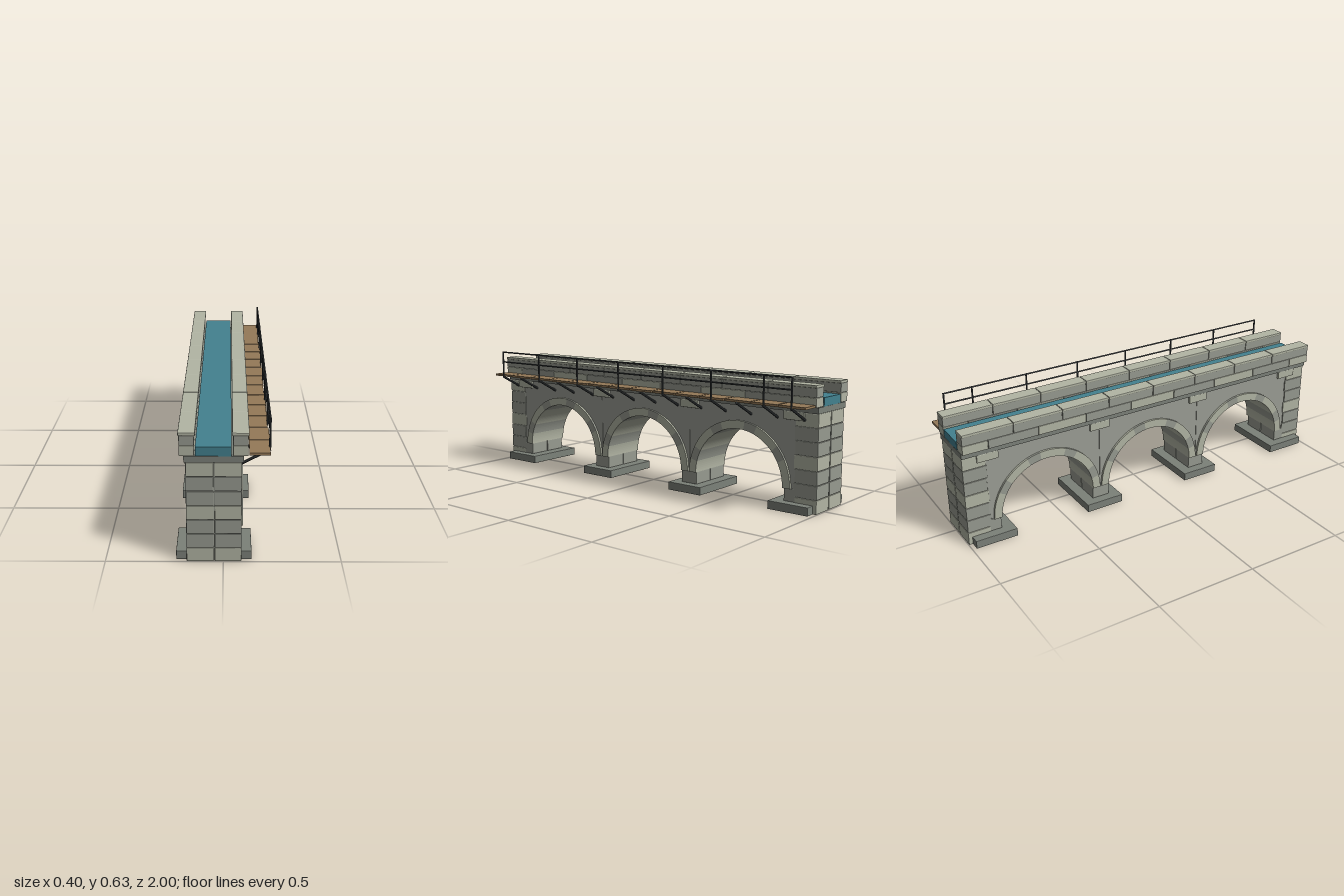
import * as THREE from 'three';
import { RoundedBoxGeometry } from 'three/addons/geometries/RoundedBoxGeometry.js';

const paint = (color) => new THREE.MeshStandardMaterial({ color, flatShading: true });
const LIGHT = paint(0xb2b5a4), MID = paint(0x979a90), WALL = paint(0x9c9e95), DARK = paint(0x7c8179);
const WATER = paint(0x43818f), WOOD = paint(0x957a58), IRON = paint(0x3a3e40);

const CX = -0.038;           // centre line of the masonry
const BAY = 0.58;            // arch spacing
const R_IN = 0.245, R_OUT = 0.285, SPRING = 0.1;

export function createModel() {
  const root = new THREE.Group();

  const group = (name) => {
    const g = new THREE.Group();
    g.name = name;
    root.add(g);
    return g;
  };
  const add = (parent, name, geo, mat) => {
    const m = new THREE.Mesh(geo, mat);
    m.name = name;
    parent.add(m);
    return m;
  };
  // box given by its limits, with optional eased edges
  const block = (parent, name, mat, [x0, x1], [y0, y1], [z0, z1], ease = 0) => {
    const s = [x1 - x0, y1 - y0, z1 - z0];
    const geo = ease ? new RoundedBoxGeometry(...s, 1, ease) : new THREE.BoxGeometry(...s);
    geo.translate((x0 + x1) / 2, (y0 + y1) / 2, (z0 + z1) / 2);
    return add(parent, name, geo, mat);
  };
  // extrude a (z, y) profile across the bridge between x0 and x1
  const across = (shape, x0, x1, curveSegments) => {
    const geo = new THREE.ExtrudeGeometry(shape, { depth: x1 - x0, bevelEnabled: false, curveSegments });
    return geo.rotateY(-Math.PI / 2).translate(x1, 0, 0);
  };
  const rod = (parent, name, a, b, r, sides = 8) => {
    const from = new THREE.Vector3(...a), to = new THREE.Vector3(...b);
    const dir = to.clone().sub(from);
    const m = add(parent, name, new THREE.CylinderGeometry(r, r, dir.length(), sides), IRON);
    m.position.copy(from).add(to).multiplyScalar(0.5);
    m.quaternion.setFromUnitVectors(new THREE.Vector3(0, 1, 0), dir.normalize());
  };

  // Spandrel walls and arch rings, one set per bay
  const walls = group('spandrelWalls'), rings = group('archRings');
  for (const bay of [-1, 0, 1]) {
    const c = bay * BAY;
    const z0 = bay === -1 ? -0.89 : c - BAY / 2 + 0.001;
    const z1 = bay === 1 ? 0.89 : c + BAY / 2 - 0.001;
    const rw = R_OUT - 0.012;
    const s = new THREE.Shape();
    s.moveTo(z0, SPRING);
    s.lineTo(c - rw, SPRING);
    s.absarc(c, SPRING, rw, Math.PI, 0, true);
    s.lineTo(z1, SPRING);
    s.lineTo(z1, 0.46);
    s.lineTo(z0, 0.46);
    s.closePath();
    add(walls, 'spandrelWall', across(s, CX - 0.112, CX + 0.112, 32), WALL);

    const count = 13;
    for (let i = 0; i < count; i++) {
      const a0 = (i / count) * Math.PI, a1 = ((i + 1) / count) * Math.PI;
      const v = new THREE.Shape();
      v.absarc(c, SPRING, R_OUT, a0, a1, false);
      v.absarc(c, SPRING, R_IN, a1, a0, true);
      v.closePath();
      add(rings, 'archStone', across(v, CX - 0.123, CX + 0.123, 3), i % 3 === 1 ? MID : LIGHT);
    }
  }

  // Footings, pier blocks and corbels
  const piers = group('piers');
  const columns = [[CX - 0.117, CX - 0.002], [CX + 0.002, CX + 0.115]];
  for (const side of [-1, 1]) {
    for (const [z, half] of [[0.29, 0.098], [0.875, 0.105]]) {
      const c = side * z;
      block(piers, 'footing', DARK, [-0.2, 0.12], [0, 0.04], [c - half, c + half], 0.002);
      block(piers, 'corbel', LIGHT, [CX - 0.124, CX + 0.123], [0.418, 0.457], [c - 0.053, c + 0.053], 0.002);
      const p = side * (z === 0.29 ? 0.29 : 0.86);
      const w = z === 0.29 ? 0.045 : 0.03;
      for (const col of columns) block(piers, 'pierBlock', MID, col, [0.04, 0.102], [p - w, p + w], 0.002);
    }
  }

  // End pilasters: seven courses of paired stones
  const ends = group('endPilasters');
  const course = 0.457 / 7;
  for (const side of [-1, 1]) {
    for (let i = 0; i < 7; i++) {
      const inner = i % 2 ? 0.879 : 0.884;
      const zs = side > 0 ? [inner, 0.999] : [-0.999, -inner];
      for (const col of columns) {
        block(ends, 'pilasterStone', i % 3 === 0 ? LIGHT : MID, col,
          [i * course + 0.001, (i + 1) * course - 0.001], zs, 0.003);
      }
    }
    // mortar core behind the joints
    const core = side > 0 ? [0.882, 0.994] : [-0.994, -0.882];
    block(ends, 'pilasterCore', MID, [CX - 0.112, CX + 0.11], [0.002, 0.458], core);
  }

  // Deck slab and water channel
  block(root, 'deckSlab', DARK, [-0.162, 0.085], [0.457, 0.485], [-1, 1]);
  block(root, 'water', WATER, [-0.114, 0.034], [0.483, 0.525], [-0.999, 0.999]);

  // Parapets: two courses in running bond under a coping
  const parapets = group('parapets');
  for (const c of [-0.15, 0.0715]) {
    const xs = [c - 0.031, c + 0.031];
    for (let i = 0; i < 8; i++) {
      const z = -1 + i * 0.25;
      block(parapets, 'upperStone', MID, xs, [0.5305, 0.574], [z + 0.001, z + 0.249], 0.002);
      block(parapets, 'copingStone', LIGHT, [c - 0.035, c + 0.035], [0.573, 0.586], [z + 0.001, z + 0.249], 0.003);
    }
    for (let i = 0; i < 9; i++) {
      const z0 = Math.max(-1, -1.125 + i * 0.25), z1 = Math.min(1, -0.875 + i * 0.25);
      block(parapets, 'lowerStone', i % 2 ? MID : LIGHT, xs, [0.486, 0.5295], [z0 + 0.001, z1 - 0.001], 0.002);
    }
  }

  // Side walkway: planks on raking struts
  const walkway = group('walkway');
  const pitch = 2 / 14;
  for (let i = 0; i < 14; i++) {
    const z = -1 + (i + 0.5) * pitch;
    const outer = 0.195 - (i % 3) * 0.002;
    block(walkway, 'plank', WOOD, [0.107, outer], [0.488, 0.499], [z - pitch / 2 + 0.003, z + pitch / 2 - 0.003], 0.001);
    rod(walkway, 'strut', [0.07, 0.42, z], [0.195, 0.487, z], 0.0065);
  }

  // Railing: posts at every second plank, plus the far end
  const railing = group('railing');
  const end = 1 - pitch / 2;
  const posts = [-end];
  for (let i = 0; i < 7; i++) posts.push(end - i * 2 * pitch);
  for (const z of posts) rod(railing, 'post', [0.193, 0.486, z], [0.193, 0.627, z], 0.0045);
  for (const y of [0.57, 0.624]) rod(railing, 'rail', [0.193, y, -end], [0.193, y, end], 0.004);

  return root;
}
